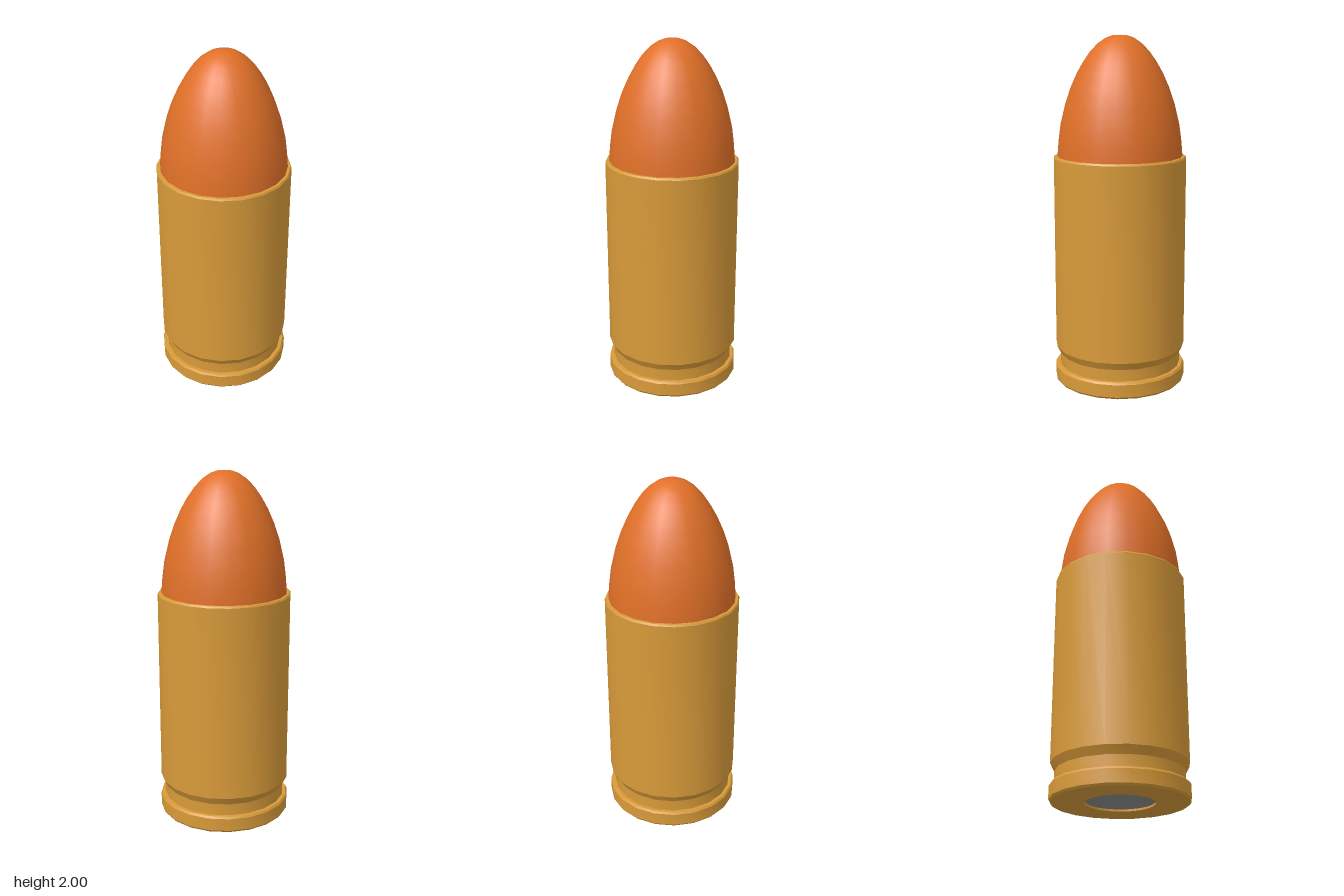
import * as THREE from 'three';
import { toCreasedNormals } from 'three/addons/utils/BufferGeometryUtils.js';

const SIDES = 20;

// Turns a bottom-to-top [radius, height] profile; edges sharper than the crease stay crisp
function turned(name, profile, material, crease) {
  const points = profile.map(([r, y]) => new THREE.Vector2(r, y));
  const geometry = toCreasedNormals(new THREE.LatheGeometry(points, SIDES), crease);
  const mesh = new THREE.Mesh(geometry, material);
  mesh.name = name;
  return mesh;
}

export function createModel() {
  const brass = new THREE.MeshStandardMaterial({ color: 0xd99b3a });
  brass.name = 'brass';
  const copper = new THREE.MeshStandardMaterial({ color: 0xe07028 });
  copper.name = 'copper';
  const steel = new THREE.MeshStandardMaterial({ color: 0x8c8c8c });
  steel.name = 'steel';

  const group = new THREE.Group();
  group.name = 'cartridge';

  // Case: primer pocket, base, bevelled rim, extractor groove, wall and mouth
  group.add(turned('case', [
    [0.19, 0.015], [0.19, 0],
    [0.373, 0], [0.382, 0.012], [0.382, 0.085], [0.374, 0.097],
    [0.355, 0.097], [0.355, 0.165],
    [0.379, 0.21], [0.379, 1.315], [0.373, 1.325],
    [0.358, 1.325], [0.358, 1.29],
  ], brass, 0.42));

  // Primer: flat disc set slightly into the base
  group.add(turned('primer', [
    [0, 0.012], [0.19, 0.012], [0.19, 0.02],
  ], steel, 0.42));

  // Bullet: rounded ogive with a small blunt tip
  group.add(turned('bullet', [
    [0.358, 1.29], [0.357, 1.33], [0.35, 1.41], [0.338, 1.5],
    [0.309, 1.62], [0.278, 1.71], [0.242, 1.79], [0.208, 1.85],
    [0.17, 1.905], [0.125, 1.953], [0.08, 1.984], [0.045, 1.997], [0, 2],
  ], copper, 0.8));

  return group;
}
